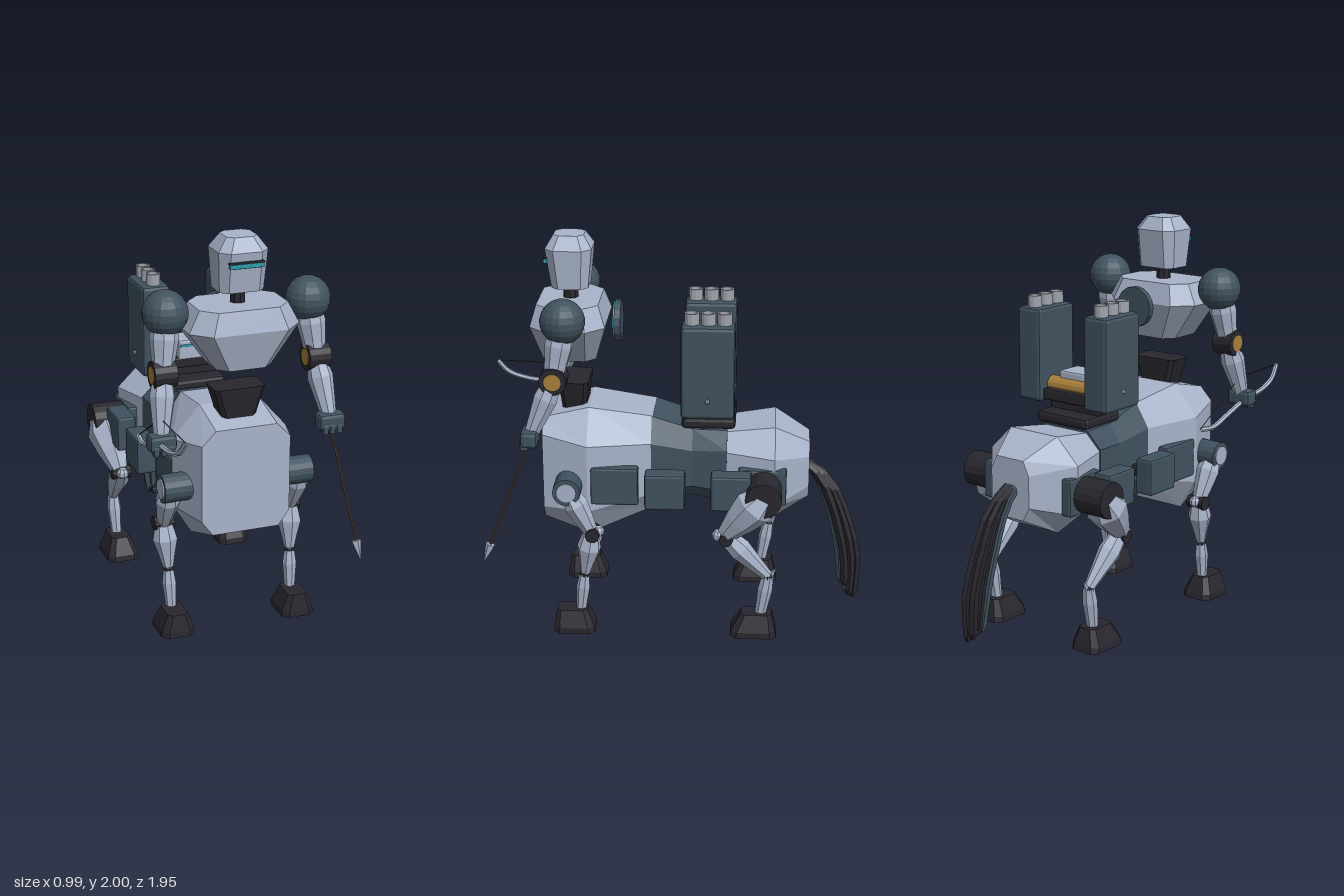
import * as THREE from 'three';
import { RoundedBoxGeometry } from 'three/addons/geometries/RoundedBoxGeometry.js';

const mat = (name, color) => {
  const m = new THREE.MeshStandardMaterial({ color });
  m.name = name;
  return m;
};
const V = (x, y, z) => new THREE.Vector3(x, y, z);

// Faceted look: split the faces and give each its own normal
function flat(geo) {
  const g = geo.index ? geo.toNonIndexed() : geo;
  g.computeVertexNormals();
  return g;
}

// Skin between rings of points, counter-clockwise seen from the last ring, with end caps
function loft(rings) {
  const pos = [], n = rings[0].length;
  const tri = (...p) => p.forEach(v => pos.push(v.x, v.y, v.z));
  for (let i = 0; i < rings.length - 1; i++)
    for (let j = 0; j < n; j++) {
      const k = (j + 1) % n, a = rings[i], b = rings[i + 1];
      tri(a[j], a[k], b[k]);
      tri(a[j], b[k], b[j]);
    }
  const first = rings[0], last = rings[rings.length - 1];
  for (let j = 1; j < n - 1; j++) {
    tri(first[0], first[j + 1], first[j]);
    tri(last[0], last[j], last[j + 1]);
  }
  const g = new THREE.BufferGeometry();
  g.setAttribute('position', new THREE.Float32BufferAttribute(pos, 3));
  g.computeVertexNormals();
  return g;
}

// Eight-sided body section at z
const bodyRing = (z, w, yl, yu, ct, top, cb, bot) => [
  [w, yl], [w, yu], [ct, top], [-ct, top], [-w, yu], [-w, yl], [-cb, bot], [cb, bot],
].map(([x, y]) => V(x, y, z));

// Rectangle with cut corners at height y
const plateRing = (y, w, z0, z1, c) => [
  [w - c, z1], [w, z1 - c], [w, z0 + c], [w - c, z0],
  [c - w, z0], [-w, z0 + c], [-w, z1 - c], [c - w, z1],
].map(([x, z]) => V(x, y, z));

export function createModel() {
  const light = mat('paleArmour', 0xa9b4ca);
  const slate = mat('slateArmour', 0x40525f);
  const black = mat('blackJoint', 0x28272e);
  const gold = mat('goldHub', 0xa9803c);
  const teal = mat('tealGlow', 0x2b9fae);
  const grey = mat('greyTube', 0xa0a6af);
  const brown = mat('brownShaft', 0x5c4730);

  const root = new THREE.Group();
  root.name = 'mechanicalCentaur';
  root.position.x = -0.005;

  const add = (name, geo, m, x = 0, y = 0, z = 0) => {
    const mesh = new THREE.Mesh(geo, m);
    mesh.name = name;
    mesh.position.set(x, y, z);
    root.add(mesh);
    return mesh;
  };
  const box = (name, m, w, h, d, x, y, z, r = 0.012) =>
    add(name, flat(new RoundedBoxGeometry(w, h, d, 1, r)), m, x, y, z);
  const ball = (name, m, r, x, y, z, s = 10) =>
    add(name, flat(new THREE.SphereGeometry(r, s, Math.ceil(s * 0.6))), m, x, y, z);
  // Cylinder lying along x
  const axle = (name, m, r, len, x, y, z, sides = 16) =>
    add(name, flat(new THREE.CylinderGeometry(r, r, len, sides).rotateZ(Math.PI / 2)), m, x, y, z);
  // Faceted limb from p to q with evenly spaced radii
  const limb = (name, m, p, q, radii, sides = 7) => {
    const dir = q.clone().sub(p), len = dir.length();
    const pts = radii.map((r, i) => new THREE.Vector2(r, len * i / (radii.length - 1)));
    pts.unshift(new THREE.Vector2(0, 0));
    pts.push(new THREE.Vector2(0, len));
    const mesh = add(name, flat(new THREE.LatheGeometry(pts, sides)), m, p.x, p.y, p.z);
    mesh.quaternion.setFromUnitVectors(V(0, 1, 0), dir.normalize());
    return mesh;
  };

  // Horse body: rump, waist and chest
  add('rump', loft([
    bodyRing(-0.69, 0.12, 0.73, 0.89, 0.085, 0.96, 0.08, 0.66),
    bodyRing(-0.515, 0.28, 0.68, 0.93, 0.15, 1.055, 0.15, 0.57),
    bodyRing(-0.27, 0.215, 0.74, 0.94, 0.13, 1.02, 0.13, 0.65)]), light);
  add('waistSection', loft([
    bodyRing(-0.275, 0.22, 0.73, 0.95, 0.14, 1.03, 0.14, 0.645),
    bodyRing(-0.1, 0.2, 0.75, 0.94, 0.14, 1.035, 0.13, 0.675),
    bodyRing(0.105, 0.222, 0.71, 0.98, 0.145, 1.1, 0.15, 0.605)]), slate);
  add('chest', loft([
    bodyRing(0.1, 0.22, 0.71, 0.98, 0.14, 1.1, 0.15, 0.61),
    bodyRing(0.42, 0.295, 0.635, 0.985, 0.155, 1.145, 0.2, 0.48),
    bodyRing(0.65, 0.225, 0.63, 1.02, 0.155, 1.09, 0.17, 0.555)]), light);

  // Humanoid waist, torso, neck and head
  add('waistPost', loft([plateRing(1.09, 0.08, 0.44, 0.56, 0.02), plateRing(1.26, 0.13, 0.425, 0.575, 0.02)]), black);
  add('torso', loft([
    plateRing(1.38, 0.14, 0.385, 0.65, 0.05),
    plateRing(1.57, 0.275, 0.33, 0.7, 0.09),
    plateRing(1.675, 0.22, 0.365, 0.67, 0.07)]), light);
  add('neck', flat(new THREE.CylinderGeometry(0.037, 0.037, 0.1, 8)), black, 0, 1.71, 0.515);
  add('head', loft([
    plateRing(1.74, 0.11, 0.42, 0.6, 0.035),
    plateRing(1.935, 0.122, 0.4, 0.63, 0.045),
    plateRing(2.0, 0.075, 0.44, 0.59, 0.03)]), light);
  box('visor', teal, 0.17, 0.022, 0.02, 0, 1.875, 0.629, 0.004);
  box('visorBrow', black, 0.175, 0.008, 0.02, 0, 1.89, 0.628, 0.002);

  // Floating back disc with a glowing front
  add('backDisc', flat(new THREE.CylinderGeometry(0.105, 0.105, 0.032, 16).rotateX(Math.PI / 2)), slate, 0, 1.555, 0.278);
  add('backDiscGlow', flat(new THREE.CylinderGeometry(0.095, 0.095, 0.008, 16).rotateX(Math.PI / 2)), teal, 0, 1.555, 0.298);

  // Weapon mount between the launchers
  box('mountBase', black, 0.32, 0.06, 0.27, 0, 1.07, -0.18, 0.02);
  box('mountStem', black, 0.3, 0.12, 0.085, 0, 1.15, -0.18);
  box('mountHousing', black, 0.28, 0.06, 0.2, 0, 1.18, -0.19);
  axle('mountRoller', gold, 0.045, 0.27, 0, 1.22, -0.215);
  box('mountCore', light, 0.165, 0.11, 0.14, 0, 1.245, -0.16);
  box('mountGlow', teal, 0.15, 0.012, 0.008, 0, 1.27, -0.088, 0.003);

  const tube = new THREE.LatheGeometry(
    [[0.036, 0], [0.036, 0.07], [0.028, 0.07], [0.028, 0]].map(p => new THREE.Vector2(...p)), 12);
  flat(tube);

  for (const s of [-1, 1]) {
    // Launcher pods with three tubes each
    box('launcherPod', slate, 0.145, 0.47, 0.265, s * 0.212, 1.375, -0.178, 0.018);
    for (let i = -1; i <= 1; i++) {
      add('launcherTube', flat(tube), grey, s * 0.212, 1.597, -0.178 + i * 0.08);
      add('launcherPlug', flat(new THREE.CylinderGeometry(0.029, 0.029, 0.04, 12)), slate, s * 0.212, 1.625, -0.178 + i * 0.08);
    }
    ball('launcherBolt', grey, 0.012, s * 0.287, 1.235, -0.178, 8);

    // Side panels and storage boxes
    box('chestPanel', slate, 0.06, 0.2, 0.24, s * 0.268, 0.775, 0.285);
    box('middleBox', slate, 0.1, 0.185, 0.2, s * 0.33, 0.783, 0.028);
    box('middleBracket', black, 0.12, 0.06, 0.08, s * 0.24, 0.783, 0.028);
    box('rearBox', slate, 0.1, 0.185, 0.2, s * 0.33, 0.783, -0.3);
    box('rearPanel', slate, 0.06, 0.19, 0.24, s * 0.252, 0.78, -0.455);

    // Front leg
    axle('frontHip', slate, 0.07, 0.14, s * 0.315, 0.775, 0.515);
    axle('frontHipCap', light, 0.05, 0.008, s * 0.388, 0.775, 0.515);
    limb('frontThigh', light, V(s * 0.34, 0.77, 0.51), V(s * 0.335, 0.545, 0.4), [0.04, 0.062, 0.05, 0.036]);
    axle('frontKnee', black, 0.036, 0.1, s * 0.335, 0.54, 0.39, 10);
    ball('frontKneeCap', light, 0.03, s * 0.335, 0.55, 0.362, 8);
    limb('frontShin', light, V(s * 0.335, 0.53, 0.4), V(s * 0.325, 0.31, 0.435), [0.045, 0.062, 0.042, 0.025]);
    ball('frontAnkle', black, 0.028, s * 0.325, 0.305, 0.437, 8);
    limb('frontCannon', light, V(s * 0.325, 0.305, 0.437), V(s * 0.32, 0.09, 0.46), [0.026, 0.036, 0.03, 0.026]);
    add('frontHoof', loft([
      plateRing(0, 0.085, 0.385, 0.595, 0.03),
      plateRing(0.03, 0.083, 0.39, 0.593, 0.03),
      plateRing(0.115, 0.05, 0.425, 0.58, 0.02)]), black, s * 0.32);

    // Hind leg
    axle('hindHip', black, 0.09, 0.2, s * 0.345, 0.78, -0.462);
    limb('hindThigh', light, V(s * 0.385, 0.81, -0.49), V(s * 0.35, 0.555, -0.275), [0.055, 0.105, 0.08, 0.045]);
    axle('hindKnee', black, 0.034, 0.1, s * 0.345, 0.54, -0.28, 10);
    ball('hindKneeCap', light, 0.032, s * 0.345, 0.548, -0.24, 8);
    limb('hindShin', light, V(s * 0.345, 0.545, -0.28), V(s * 0.325, 0.32, -0.49), [0.045, 0.058, 0.042, 0.028]);
    ball('hindHock', black, 0.03, s * 0.325, 0.315, -0.49, 8);
    limb('hockSpur', light, V(s * 0.325, 0.3, -0.495), V(s * 0.325, 0.36, -0.53), [0.022, 0.003], 5);
    limb('hindCannon', light, V(s * 0.325, 0.32, -0.492), V(s * 0.32, 0.09, -0.455), [0.03, 0.038, 0.032, 0.028]);
    add('hindHoof', loft([
      plateRing(0, 0.085, -0.54, -0.305, 0.03),
      plateRing(0.03, 0.083, -0.535, -0.31, 0.03),
      plateRing(0.115, 0.05, -0.515, -0.36, 0.02)]), black, s * 0.32);

    // Arm
    const hand = s > 0 ? V(0.415, 1.085, 0.68) : V(-0.425, 1.075, 0.645);
    const elbow = V(s * 0.387, 1.375, 0.56);
    ball('shoulder', slate, 0.11, s * 0.358, 1.655, 0.515, 18);
    limb('upperArm', light, V(s * 0.362, 1.62, 0.52), elbow, [0.06, 0.07, 0.058, 0.05], 8);
    axle('elbow', black, 0.067, 0.11, elbow.x, elbow.y, elbow.z);
    axle('elbowHub', gold, 0.042, 0.118, elbow.x, elbow.y, elbow.z);
    limb('forearm', light, elbow, hand, [0.045, 0.062, 0.048, 0.034], 8);
    box('hand', slate, 0.135, 0.085, 0.085, hand.x, hand.y, hand.z, 0.02);
    for (let i = -1; i <= 1; i++)
      box('finger', slate, 0.03, 0.05, 0.04, hand.x + i * 0.036, hand.y - 0.035, hand.z + 0.025, 0.008);
  }

  // Bow with a drawn string in the right hand
  const bowPts = [[0.97, 1.19], [0.915, 1.125], [0.81, 1.085], [0.66, 1.065], [0.5, 1.01], [0.38, 0.965], [0.28, 0.97]]
    .map(([z, y], i) => V(-0.42 - 0.02 * Math.sin(i / 6 * Math.PI), y, z));
  add('bow', flat(new THREE.TubeGeometry(new THREE.CatmullRomCurve3(bowPts), 24, 0.013, 6)), light);
  const nock = V(-0.42, 1.18, 0.62);
  for (const tip of [bowPts[0], bowPts[6]]) limb('bowString', black, tip, nock, [0.003, 0.003], 4);

  // Arrow held in the left hand
  limb('arrowShaft', brown, V(0.41, 1.1, 0.67), V(0.478, 0.52, 0.89), [0.006, 0.006], 6);
  limb('arrowHead', light, V(0.477, 0.53, 0.886), V(0.488, 0.44, 0.92), [0.026, 0.002], 5);

  // Tail: a bundle of strands, dark and slate in turn
  for (let i = 0; i < 11; i++) {
    const a = i * 2.4, r = 0.045 * Math.sqrt((i + 0.5) / 11);
    const dx = Math.cos(a) * r, dz = Math.sin(a) * r;
    const path = [[0, 0.82, -0.67, 0.6], [0.01, 0.74, -0.765, 1], [0.02, 0.54, -0.85, 1.2],
      [0.035, 0.33, -0.9, 1.25], [0.045, 0.13 + 0.05 * ((i * 3) % 5) / 4, -0.905, 0.9]]
      .map(([x, y, z, k]) => V(x + dx * k, y + dz * 0.4, z + dz * k));
    const curve = new THREE.CatmullRomCurve3(path);
    const geo = new THREE.TubeGeometry(curve, 8, 0.022, 5);
    add('tailStrand', flat(geo), i % 3 ? black : slate);
    limb('tailTip', i % 3 ? black : slate, path[4], path[4].clone().add(V(0, -0.03, 0)), [0.021, 0.008], 5);
  }
  return root;
}
